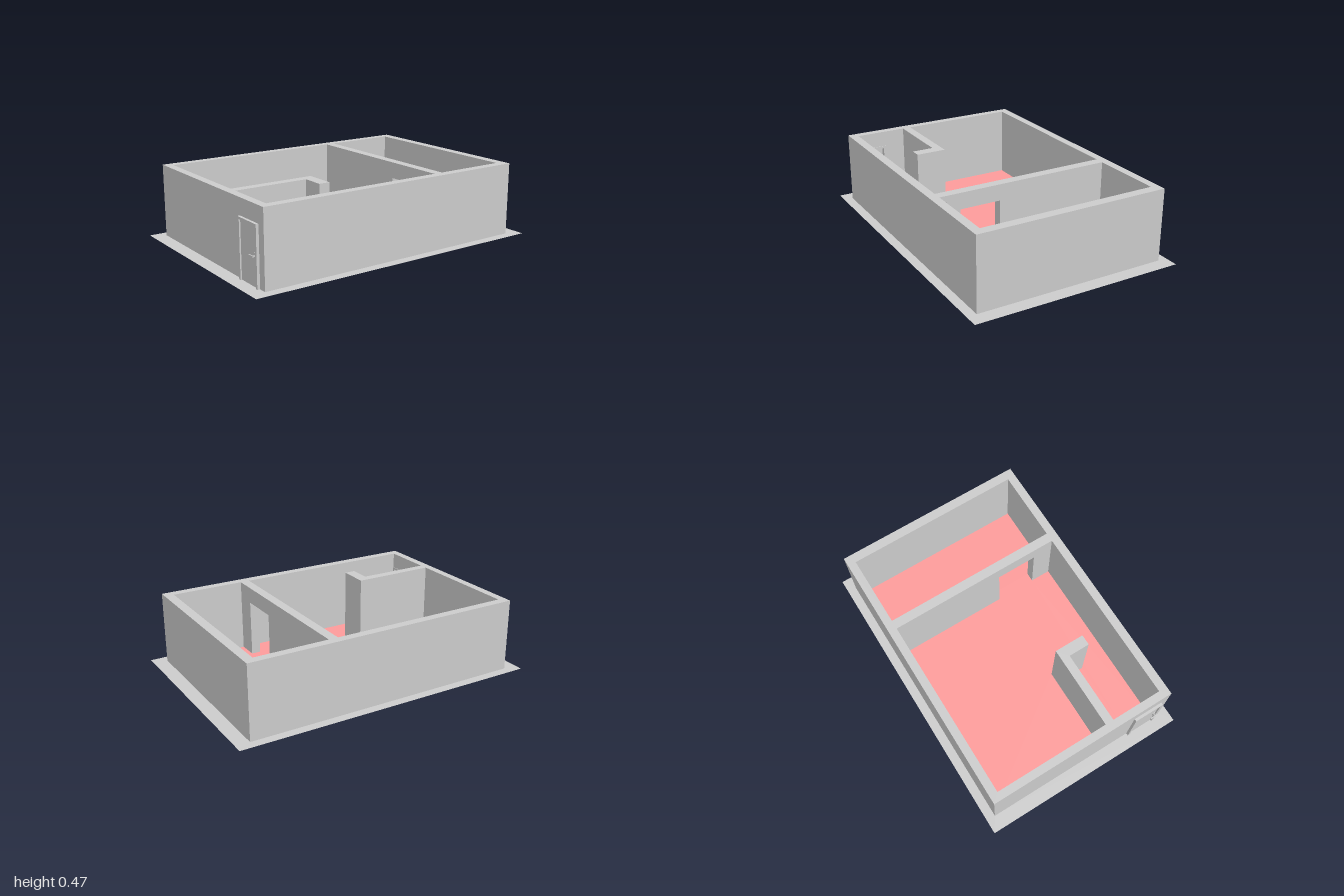
import * as THREE from 'three';

const grey = new THREE.MeshStandardMaterial({ color: 0xcccccc, side: THREE.DoubleSide, flatShading: true });
const red = new THREE.MeshStandardMaterial({ color: 0xfc9b9a, side: THREE.DoubleSide });

const WALL_TOP = 0.468, DOOR_TOP = 0.365;

// Plan outlines, as [x, z] corners
const rect = (x0, z0, x1, z1) => [[x0, z0], [x1, z0], [x1, z1], [x0, z1]];
const outer = rect(-0.91, 0.622, 0.91, -0.625);
const nook = [[-0.86, 0.235], [-0.39, 0.235], [-0.39, 0.375], [-0.32, 0.375], [-0.32, 0.18], [-0.86, 0.18]];
const mainRoom = [[-0.86, -0.572], [0.32, -0.572], [0.32, 0.567], [-0.86, 0.567], ...nook];
const sideRoom = rect(0.38, -0.572, 0.85, 0.567);

// Floor outline: both rooms joined by the inner doorway, open to the entrance
const floorPlan = [
  [-0.91, 0.375], [-0.86, 0.375], ...nook, [-0.86, -0.572],
  [0.32, -0.572], [0.32, 0.17], [0.38, 0.17], [0.38, -0.572],
  [0.85, -0.572], [0.85, 0.567], [0.38, 0.567], [0.38, 0.435],
  [0.32, 0.435], [0.32, 0.567], [-0.91, 0.567],
];
// Walls below the lintels follow the outside, then the floor outline
const lowerPlan = [...outer, ...floorPlan];

function add(parent, name, geometry, material = grey) {
  const mesh = new THREE.Mesh(geometry, material);
  mesh.name = name;
  parent.add(mesh);
  return mesh;
}

// Flat horizontal sheet with holes
function sheet(points, y, holes = []) {
  const toVectors = (pts) => pts.map(([x, z]) => new THREE.Vector2(x, -z));
  const shape = new THREE.Shape(toVectors(points));
  for (const hole of holes) shape.holes.push(new THREE.Path(toVectors(hole)));
  return new THREE.ShapeGeometry(shape).rotateX(-Math.PI / 2).translate(0, y, 0);
}

// Vertical faces along a closed outline
function band(points, y0, y1) {
  const positions = [];
  points.forEach(([ax, az], i) => {
    const [bx, bz] = points[(i + 1) % points.length];
    positions.push(ax, y0, az, bx, y0, bz, bx, y1, bz, ax, y0, az, bx, y1, bz, ax, y1, az);
  });
  const geometry = new THREE.BufferGeometry();
  geometry.setAttribute('position', new THREE.Float32BufferAttribute(positions, 3));
  geometry.computeVertexNormals();
  return geometry;
}

// Box given by its limits on each axis
function block(x0, x1, y0, y1, z0, z1) {
  return new THREE.BoxGeometry(x1 - x0, y1 - y0, z1 - z0)
    .translate((x0 + x1) / 2, (y0 + y1) / 2, (z0 + z1) / 2);
}

export function createModel() {
  const model = new THREE.Group();
  model.name = 'house';

  // Ground border and floor
  add(model, 'groundBorder', sheet(rect(-1, -0.683, 1, 0.683), 0, [outer]));
  add(model, 'floor', sheet(floorPlan, 0), red);

  // Walls, open underneath
  const walls = new THREE.Group();
  walls.name = 'walls';
  model.add(walls);
  add(walls, 'lowerWalls', band(lowerPlan, 0, DOOR_TOP));
  for (const [name, plan] of [['outerWall', outer], ['mainRoomWall', mainRoom], ['sideRoomWall', sideRoom]]) {
    add(walls, name, band(plan, DOOR_TOP, WALL_TOP));
  }
  add(walls, 'wallTop', sheet(outer, WALL_TOP, [mainRoom, sideRoom]));
  for (const [name, plan] of [
    ['innerLintel', rect(0.32, 0.17, 0.38, 0.435)],
    ['entranceLintel', rect(-0.91, 0.375, -0.86, 0.567)],
  ]) {
    add(walls, name, sheet(plan, DOOR_TOP).scale(1, 1, 1));
  }

  // Entrance door with frame and handle
  const door = new THREE.Group();
  door.name = 'entranceDoor';
  model.add(door);
  add(door, 'frameBackPost', block(-0.927, -0.856, 0, 0.365, 0.372, 0.387));
  add(door, 'frameFrontPost', block(-0.927, -0.856, 0, 0.365, 0.555, 0.57));
  add(door, 'frameHead', block(-0.927, -0.856, 0.35, 0.365, 0.387, 0.555));
  add(door, 'doorPanel', block(-0.918, -0.885, 0.002, 0.35, 0.387, 0.555));
  add(door, 'handlePlate', block(-0.923, -0.918, 0.145, 0.2, 0.537, 0.55));
  add(door, 'handleStem', new THREE.CylinderGeometry(0.004, 0.004, 0.018, 10)
    .rotateZ(Math.PI / 2).translate(-0.929, 0.182, 0.543));
  add(door, 'handleLever', block(-0.94, -0.934, 0.177, 0.187, 0.51, 0.549));

  return model;
}
